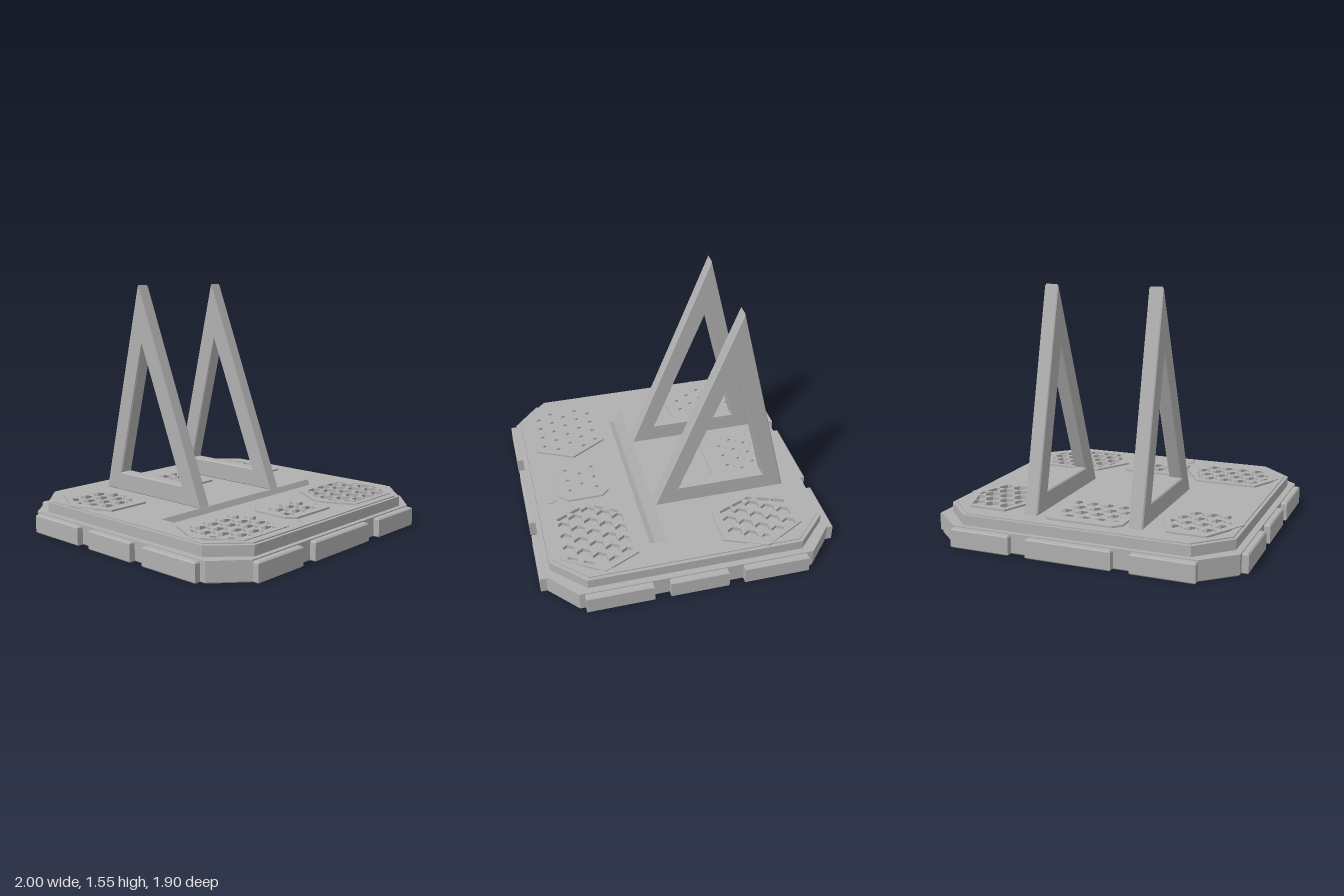
import * as THREE from 'three';

const grey = new THREE.MeshStandardMaterial({ color: 0xb0b0b0 });
grey.name = 'grey';

// Points are [x, z] seen from above
const toPath = (pts) => pts.map(([x, z]) => new THREE.Vector2(x, -z));
const rect = (x0, x1, z0, z1) => [[x0, z0], [x1, z0], [x1, z1], [x0, z1]];
const octagon = (x0, x1, z0, z1, cx, cz = cx) => [
  [x0 + cx, z0], [x1 - cx, z0], [x1, z0 + cz], [x1, z1 - cz],
  [x1 - cx, z1], [x0 + cx, z1], [x0, z1 - cz], [x0, z0 + cz],
];
const mirrorX = (pts) => pts.map(([x, z]) => [-x, z]);
const centreOf = (pts) => [0, 1].map((k) => {
  const v = pts.map((p) => p[k]);
  return (Math.min(...v) + Math.max(...v)) / 2;
});
const scaled = (pts, f) => {
  const c = centreOf(pts);
  return pts.map((p) => p.map((v, k) => c[k] + (v - c[k]) * f));
};

const bevelOptions = (depth, bevel) => ({
  depth: depth - 2 * bevel, bevelEnabled: bevel > 0, bevelSize: bevel,
  bevelThickness: bevel, bevelOffset: -bevel, bevelSegments: 1,
});

// Horizontal slab between two heights
function slab(name, pts, y0, y1, { holes = [], bevel = 0 } = {}) {
  const shape = new THREE.Shape(toPath(pts));
  shape.holes = holes.map((h) => new THREE.Path(toPath(h)));
  const geo = new THREE.ExtrudeGeometry(shape, bevelOptions(y1 - y0, bevel));
  geo.rotateX(-Math.PI / 2).translate(0, y0 + bevel, 0);
  const mesh = new THREE.Mesh(geo, grey);
  mesh.name = name;
  return mesh;
}

// Side profile of [z, y] points, extruded along x and centred on x
function sideways(name, pts, hole, x, width, bevel) {
  const vec = (list) => list.map(([z, y]) => new THREE.Vector2(z, y));
  const shape = new THREE.Shape(vec(pts));
  if (hole) shape.holes.push(new THREE.Path(vec(hole)));
  const geo = new THREE.ExtrudeGeometry(shape, bevelOptions(width, bevel));
  geo.rotateY(-Math.PI / 2).translate(x + width / 2 - bevel, 0, 0);
  const mesh = new THREE.Mesh(geo, grey);
  mesh.name = name;
  return mesh;
}

// Clip a polygon to a convex region
function clip(poly, region) {
  const c = centreOf(region);
  let out = poly;
  region.forEach((a, i) => {
    const b = region[(i + 1) % region.length];
    const side = (p) => (b[0] - a[0]) * (p[1] - a[1]) - (b[1] - a[1]) * (p[0] - a[0]);
    const sign = Math.sign(side(c));
    const input = out;
    out = [];
    input.forEach((p, j) => {
      const q = input[(j + 1) % input.length];
      const sp = side(p) * sign, sq = side(q) * sign;
      if (sp >= 0) out.push(p);
      if (sp * sq < 0) {
        const t = sp / (sp - sq);
        out.push([p[0] + (q[0] - p[0]) * t, p[1] + (q[1] - p[1]) * t]);
      }
    });
  });
  return out;
}

// Rows of hexagons whose corners nearly touch, clipped to the grille region
function hexPits(region) {
  const s = 0.052, [cx, cz] = centreOf(region), pits = [];
  for (let r = -4; r <= 4; r++) {
    for (let i = -5; i <= 5; i++) {
      const x = cx + i * 2 * s + (r % 2 ? s : 0), z = cz + r * s * Math.sqrt(3);
      const hex = [];
      for (let k = 0; k < 6; k++) {
        const a = k * Math.PI / 3;
        hex.push([x + Math.cos(a) * s * 0.94, z + Math.sin(a) * s * 0.94]);
      }
      const pit = clip(hex, region);
      if (pit.length > 2 && Math.abs(THREE.ShapeUtils.area(toPath(pit))) > 0.0006) pits.push(pit);
    }
  }
  return pits;
}

export function createModel() {
  const model = new THREE.Group();
  model.name = 'displayStand';

  const slot = rect(-0.71, 0.71, 0.14, 0.25);

  // Lower base with a chamfered foot and raised edge pads
  const core = octagon(-0.96, 0.96, -0.91, 0.91, 0.19, 0.17);
  model.add(slab('baseFoot', core, 0, 0.06, { bevel: 0.008 }));
  model.add(slab('baseBody', core, 0.045, 0.127, { holes: [slot] }));
  const pads = new THREE.Group();
  pads.name = 'edgePads';
  for (const s of [-1, 1]) {
    for (const [a, b] of [[-0.77, -0.38], [-0.27, 0.27], [0.38, 0.77]]) {
      pads.add(slab('frontBackPad', rect(a, b, s * 0.9 - 0.05, s * 0.9 + 0.05), 0, 0.12, { bevel: 0.008 }));
    }
    for (const [a, b] of [[-0.705, -0.285], [-0.185, 0.185], [0.285, 0.705]]) {
      pads.add(slab('sidePad', rect(s * 0.95 - 0.05, s * 0.95 + 0.05, a, b), 0, 0.12, { bevel: 0.008 }));
    }
  }
  model.add(pads);

  // Panel outlines and the grille region inside each
  const backSide = [
    [[-0.76, -0.73], [-0.52, -0.73], [-0.41, -0.46], [-0.52, -0.2], [-0.8, -0.2], [-0.91, -0.46]],
    [[-0.77, -0.69], [-0.54, -0.69], [-0.46, -0.47], [-0.55, -0.25], [-0.77, -0.25], [-0.84, -0.47]],
  ];
  const frontSide = [
    [[-0.77, 0.33], [-0.37, 0.33], [-0.225, 0.57], [-0.34, 0.81], [-0.72, 0.81], [-0.88, 0.56]],
    [[-0.74, 0.365], [-0.39, 0.365], [-0.27, 0.57], [-0.37, 0.78], [-0.72, 0.78], [-0.84, 0.57]],
  ];
  const panels = [
    backSide, backSide.map(mirrorX), frontSide, frontSide.map(mirrorX),
    [octagon(-0.255, 0.255, -0.77, -0.31, 0.05), octagon(-0.21, 0.21, -0.7, -0.36, 0.03)],
    [octagon(-0.21, 0.21, 0.4, 0.73, 0.05), octagon(-0.17, 0.17, 0.44, 0.69, 0.03)],
  ];

  // Upper deck in two layers, so the grille pits get a floor
  const deck = octagon(-0.92, 0.92, -0.88, 0.88, 0.2);
  model.add(slab('deckBody', deck, 0.12, 0.178, { holes: [slot] }));
  model.add(slab('deckTop', deck, 0.178, 0.19, {
    holes: [slot, ...panels.map(([outline]) => scaled(outline, 0.97))],
  }));
  model.add(slab('deckRim', octagon(-0.9, 0.9, -0.86, 0.86, 0.195), 0.186, 0.197, {
    holes: [octagon(-0.86, 0.86, -0.81, 0.81, 0.17)],
  }));
  model.add(slab('frontTab', [[-0.18, 0.75], [0.18, 0.75], [0.2, 0.77], [0.2, 0.82], [-0.2, 0.82], [-0.2, 0.77]], 0.186, 0.197));
  for (const [outline, region] of panels) {
    model.add(slab('grillePanel', outline, 0.178, 0.202, { holes: hexPits(region) }));
  }

  // Leaning slot: sloped back wall and tilted floor
  model.add(sideways('slotLining',
    [[0.14, 0.045], [0.25, 0.045], [0.25, 0.094], [0.19, 0.07], [0.14, 0.19]], null, 0, 1.42, 0));

  // Two triangular back rests
  for (const s of [-1, 1]) {
    model.add(sideways('backRest',
      [[0.138, 0.188], [-0.405, 1.555], [-0.738, 0.188]],
      [[-0.025, 0.31], [-0.375, 1.18], [-0.59, 0.31]], s * 0.338, 0.09, 0.008));
  }
  return model;
}
